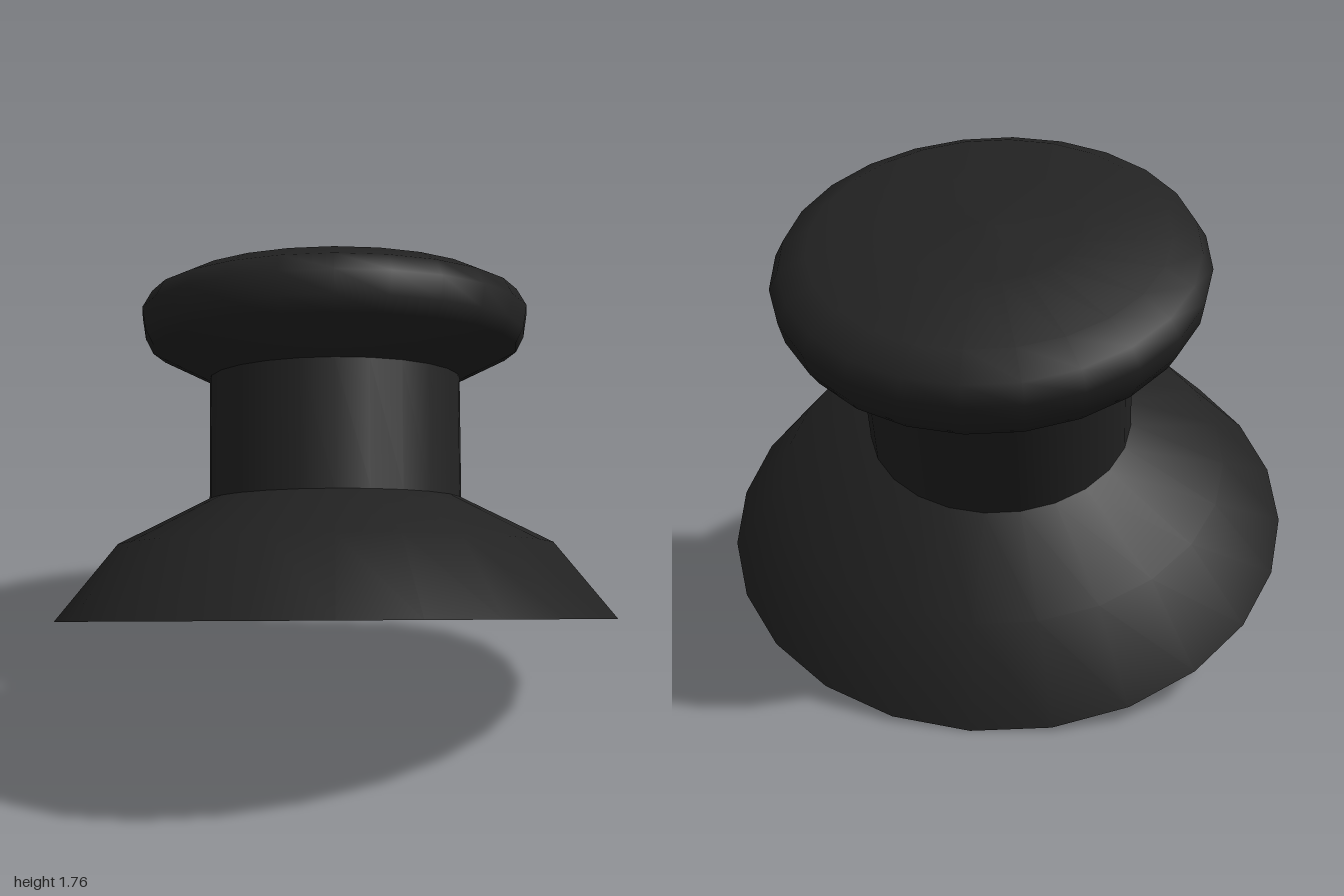
import * as THREE from 'three';

const SIDES = 24;

export function createModel() {
  const rubber = new THREE.MeshStandardMaterial({ color: 0x222222, side: THREE.DoubleSide });
  rubber.name = 'black rubber';

  const model = new THREE.Group();
  model.name = 'thumbstick';

  // Profiles are [radius, height] pairs along the stick's own axis, bottom to top
  const turned = (name, profile) => {
    const points = profile.map(([r, h]) => new THREE.Vector2(r, h));
    const geometry = new THREE.LatheGeometry(points, SIDES, THREE.MathUtils.degToRad(3));
    const mesh = new THREE.Mesh(geometry, rubber);
    mesh.name = name;
    return mesh;
  };

  const stick = new THREE.Group();
  stick.name = 'tiltedStick';
  stick.add(
    // Open, hollow skirt
    turned('skirt', [[0.996, 0], [0.782, 0.267], [0.456, 0.434]]),
    // Open tube between skirt and cap
    turned('shaft', [[0.456, 0.434], [0.456, 0.873]]),
    // Rounded thumb cap with a shallow dome
    turned('cap', [
      [0.456, 0.873], [0.664, 0.975], [0.692, 1.03], [0.704, 1.108],
      [0.67, 1.168], [0.573, 1.216], [0.3, 1.25], [0, 1.26],
    ]),
  );

  // Lean the whole stick backwards and slightly to its right
  const axis = new THREE.Vector3(-0.027, 0.909, -0.417).normalize();
  stick.quaternion.setFromUnitVectors(new THREE.Vector3(0, 1, 0), axis);
  stick.position.set(-0.003, 0.416, 0.095);
  model.add(stick);
  return model;
}
